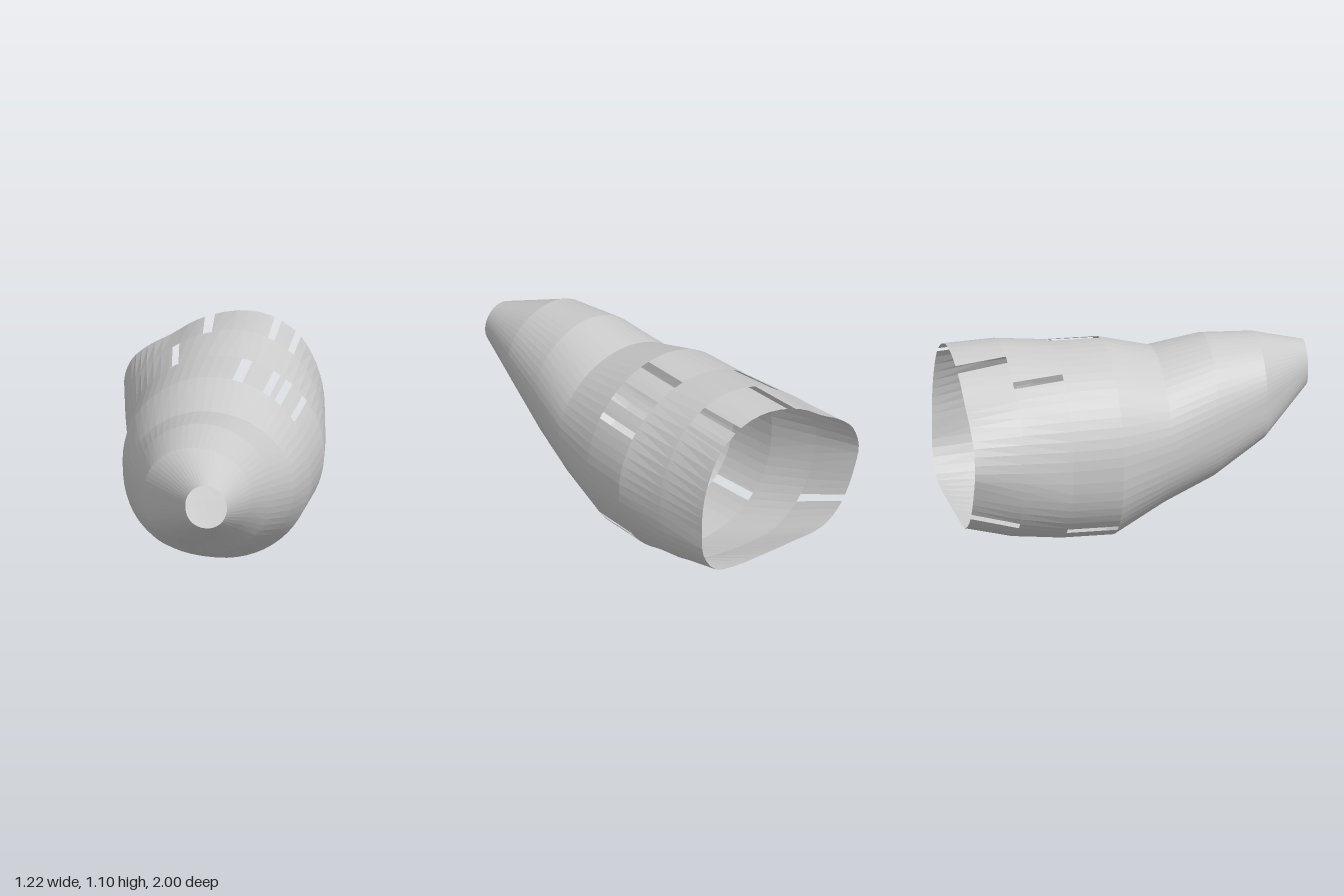
import * as THREE from 'three';

// Oval cross-sections, nose to waist: z, xMin, xMax, yMin, yMax, fullness of the lower -x quarter
const OVALS = [
  [1, 0.12, 0.35, 0.665, 0.915, 2.2],
  [0.714, -0.165, 0.43, 0.465, 1.01, 3.4],
  [0.429, -0.27, 0.49, 0.27, 1.03, 2.6],
  [0.143, -0.36, 0.55, 0.15, 0.98, 2.4],
  [-0.143, -0.45, 0.59, 0, 1.06, 2.4],
  [-0.429, -0.475, 0.605, 0.005, 1.065, 2.3],
];

// Uneven outline of the rear opening, counter-clockwise from the +x side
const REAR = new THREE.CatmullRomCurve3([
  [0.495, 0.5], [0.49, 0.65], [0.45, 0.81], [0.36, 0.97], [0.2, 1.075],
  [0.02, 1.09], [-0.2, 1.02], [-0.35, 0.92], [-0.48, 0.84], [-0.57, 0.75],
  [-0.61, 0.62], [-0.58, 0.5], [-0.53, 0.38], [-0.46, 0.28], [-0.35, 0.21],
  [-0.15, 0.2], [0.05, 0.2], [0.25, 0.205], [0.4, 0.24], [0.485, 0.36],
].map(([x, y]) => new THREE.Vector3(x, y, -1)), true);

// Slots cut through the skin, per band: start and end angle
const SLOTS = {
  4: [[0.604, 0.677], [0.831, 0.916], [0.982, 1.065], [1.299, 1.406], [3.9, 4.0], [5.599, 5.704]],
  5: [[2.08, 2.16]],
  6: [[0.93, 1.0], [1.15, 1.22], [1.75, 1.83], [3.86, 3.96]],
};

function oval([z, x0, x1, y0, y1, fullness]) {
  return (t) => {
    const c = Math.cos(t), s = Math.sin(t);
    const e = c < 0 && s < 0 ? 2 / fullness : 1;
    return new THREE.Vector3(
      (x0 + x1) / 2 + (x1 - x0) / 2 * Math.sign(c) * Math.abs(c) ** e,
      (y0 + y1) / 2 + (y1 - y0) / 2 * Math.sign(s) * Math.abs(s) ** e, z);
  };
}

const rear = (t) => REAR.getPoint((t / (Math.PI * 2)) % 1);

// Section halfway between the round waist and the rear outline
function shoulder(t) {
  const p = oval(OVALS[5])(t).lerp(rear(t), 0.5);
  return p.set(p.x * 1.01, 0.6 + (p.y - 0.6) * 1.04, -0.714);
}

// One band of skin between two sections, leaving the slots open
function bandGeometry(front, back, slots) {
  const segments = 60;
  const angles = Array.from({ length: segments + 1 }, (_, i) => i / segments * Math.PI * 2);
  angles.push(...slots.flat());
  angles.sort((a, b) => a - b);
  const points = [];
  for (let i = 0; i < angles.length - 1; i++) {
    const t0 = angles[i], t1 = angles[i + 1], mid = (t0 + t1) / 2;
    if (t1 - t0 < 1e-5 || slots.some(([a, b]) => mid > a && mid < b)) continue;
    const a = front(t0), b = front(t1), c = back(t1), d = back(t0);
    points.push(a, d, b, b, d, c);
  }
  const geometry = new THREE.BufferGeometry().setFromPoints(points);
  geometry.computeVertexNormals();
  return geometry;
}

export function createModel() {
  const model = new THREE.Group();
  model.name = 'hollowShell';
  const material = new THREE.MeshStandardMaterial({
    color: 0xcccccc, flatShading: true, side: THREE.DoubleSide,
  });
  const names = ['noseCone', 'noseBand', 'neckBand', 'frontBand', 'slottedWaistBand', 'shoulderBand', 'rearBand'];
  const sections = [...OVALS.map(oval), shoulder, rear];
  names.forEach((name, i) => {
    const band = new THREE.Mesh(bandGeometry(sections[i], sections[i + 1], SLOTS[i] ?? []), material);
    band.name = name;
    model.add(band);
  });
  return model;
}
